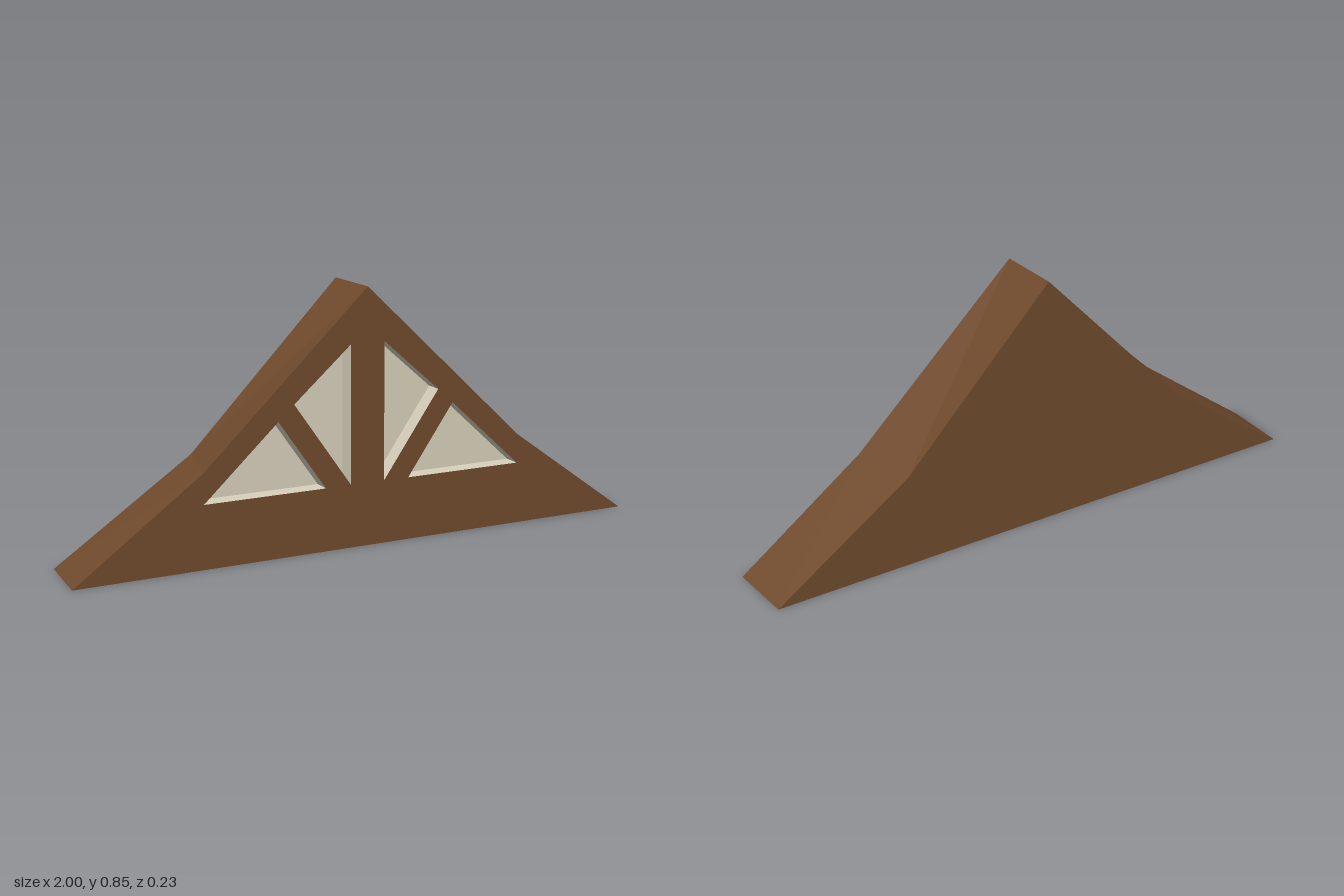
import * as THREE from 'three';

const wood = new THREE.MeshStandardMaterial({ color: 0x704b2d });
wood.name = 'brown wood';
const cream = new THREE.MeshStandardMaterial({ color: 0xd8d1bc });
cream.name = 'cream infill';

const Z_FRONT = 0.113, Z_BACK = -0.113, Z_PANEL = 0.053;

// Outlines run counter-clockwise: two eaves, right knee, apex, left knee
const frontOutline = [[-1, 0], [1, 0], [0.57, 0.31], [0, 0.85], [-0.57, 0.31]];
const backOutline = [[-0.985, 0], [0.985, 0], [0.52, 0.315], [0, 0.85], [-0.52, 0.315]];

// Triangular openings of the right half, mirrored for the left
const rightWindows = {
  upperWindow: [[0.06, 0.21], [0.26, 0.495], [0.06, 0.67]],
  lowerWindow: [[0.15, 0.21], [0.57, 0.21], [0.315, 0.445]],
};
const mirror = (pts) => pts.map(([x, y]) => [-x, y]).reverse();
const vectors = (pts) => pts.map(([x, y]) => new THREE.Vector2(x, y));

function addMesh(parent, name, geometry, material) {
  const mesh = new THREE.Mesh(geometry, material);
  mesh.name = name;
  parent.add(mesh);
  return mesh;
}

// Flat-faced band joining a front outline to a back outline
function band(front, back, zFront, zBack) {
  const positions = [];
  const f = (i) => [...front[i], zFront], b = (i) => [...back[i], zBack];
  front.forEach((_, i) => {
    const j = (i + 1) % front.length;
    const corners = i < 3
      ? [f(i), b(i), f(j), b(i), b(j), f(j)]
      : [f(i), b(i), b(j), f(i), b(j), f(j)]; // mirrored diagonal on the left slope
    corners.forEach((p) => positions.push(...p));
  });
  const geometry = new THREE.BufferGeometry();
  geometry.setAttribute('position', new THREE.Float32BufferAttribute(positions, 3));
  geometry.computeVertexNormals();
  return geometry;
}

export function createModel() {
  const model = new THREE.Group();
  model.name = 'gable';

  // Front board, pierced by the openings
  const board = new THREE.Shape(vectors(frontOutline));

  for (const [name, pts] of Object.entries(rightWindows)) {
    for (const [side, outline] of [['left', pts], ['right', mirror(pts)]]) {
      board.holes.push(new THREE.Path(vectors(outline)));

      const window = new THREE.Group();
      window.name = `${side} ${name}`;
      model.add(window);
      // Reversed order makes the recess walls face inward
      const inward = [...outline].reverse();
      addMesh(window, 'recessWalls', band(inward, inward, Z_FRONT, Z_PANEL), cream);
      const panel = new THREE.ShapeGeometry(new THREE.Shape(vectors(outline)));
      addMesh(window, 'infillPanel', panel, cream).position.z = Z_PANEL;
    }
  }
  addMesh(model, 'frontBoard', new THREE.ShapeGeometry(board), wood).position.z = Z_FRONT;

  // Roof slopes and underside
  addMesh(model, 'slopesAndBase', band(frontOutline, backOutline, Z_FRONT, Z_BACK), wood);

  // Plain back, turned to face rearward
  const back = new THREE.ShapeGeometry(new THREE.Shape(vectors(backOutline)));
  const backBoard = addMesh(model, 'backBoard', back, wood);
  backBoard.rotation.y = Math.PI;
  backBoard.position.z = Z_BACK;

  return model;
}
